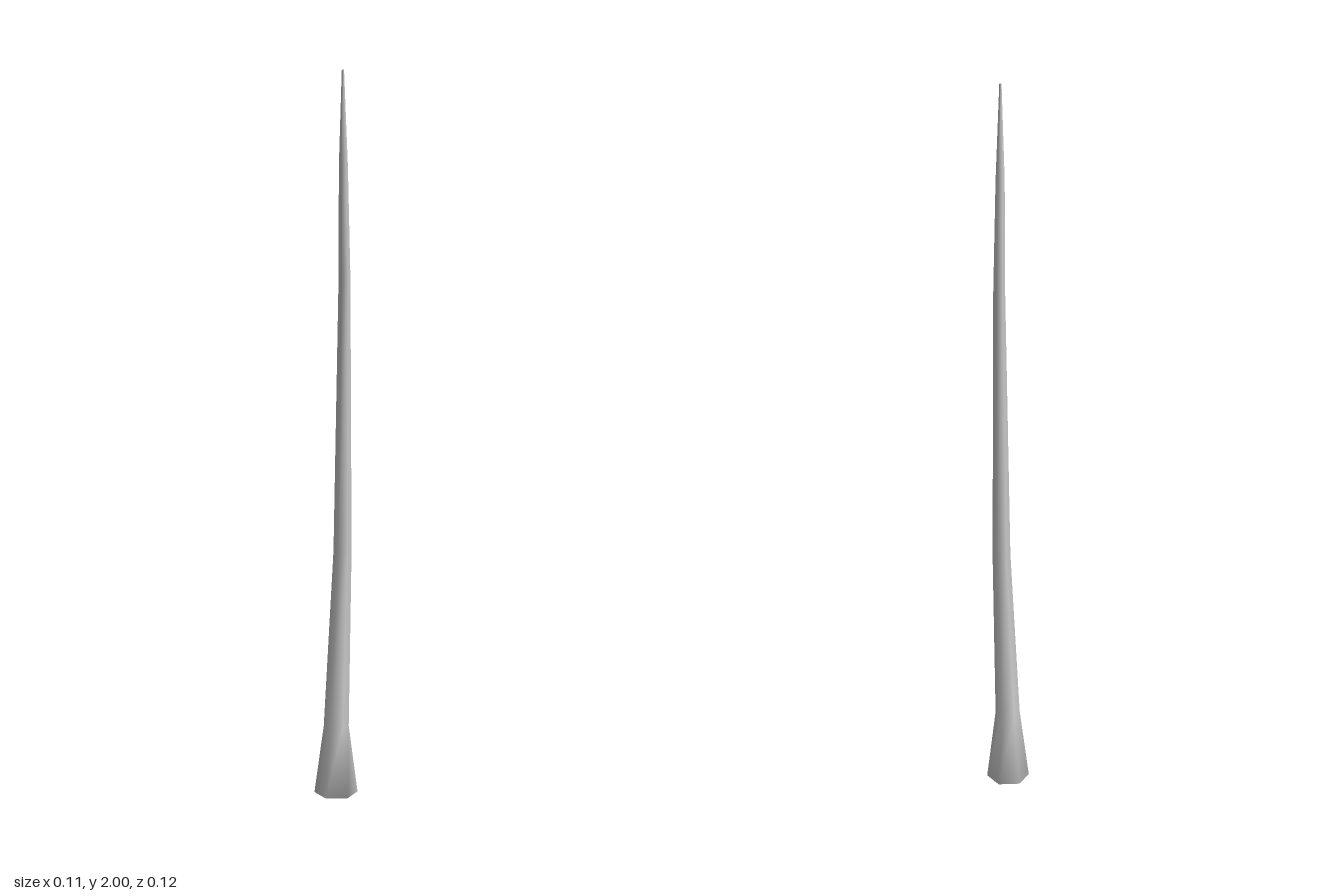
import * as THREE from 'three';

// Trunk cross-sections from ground to tip: centre x, height, centre z, radius
const RINGS = [
  [0, 0, 0, 0.061],
  [-0.008, 0.2, 0.014, 0.035],
  [0.01, 0.7, 0.018, 0.025],
  [0.003, 1.45, 0.038, 0.016],
  [-0.009, 1.75, 0.051, 0.012],
  [-0.015, 2, 0.058, 0.003],
];
const SIDES = 6;

// Smooth-shaded hexagonal loft, closed at both ends
function loft(rings) {
  const pos = [], index = [];
  for (const [x, y, z, r] of rings) {
    for (let i = 0; i < SIDES; i++) {
      const a = (i / SIDES) * Math.PI * 2;
      pos.push(x + r * Math.sin(a), y, z + r * Math.cos(a));
    }
  }
  for (let k = 0; k < rings.length - 1; k++) {
    for (let i = 0; i < SIDES; i++) {
      const j = (i + 1) % SIDES;
      const a = k * SIDES + i, b = k * SIDES + j;
      index.push(a, b, b + SIDES, a, b + SIDES, a + SIDES);
    }
  }
  // End caps share the rim vertices so the shading rolls over the edge
  const top = (rings.length - 1) * SIDES;
  for (let i = 1; i < SIDES - 1; i++) {
    index.push(0, i + 1, i);
    index.push(top, top + i, top + i + 1);
  }
  const geo = new THREE.BufferGeometry();
  geo.setAttribute('position', new THREE.Float32BufferAttribute(pos, 3));
  geo.setIndex(index);
  geo.computeVertexNormals();
  return geo;
}

export function createModel() {
  const group = new THREE.Group();
  group.name = 'bareTrunk';
  const trunk = new THREE.Mesh(loft(RINGS), new THREE.MeshStandardMaterial({ color: 0xcccccc }));
  trunk.name = 'trunk';
  group.add(trunk);
  return group;
}
